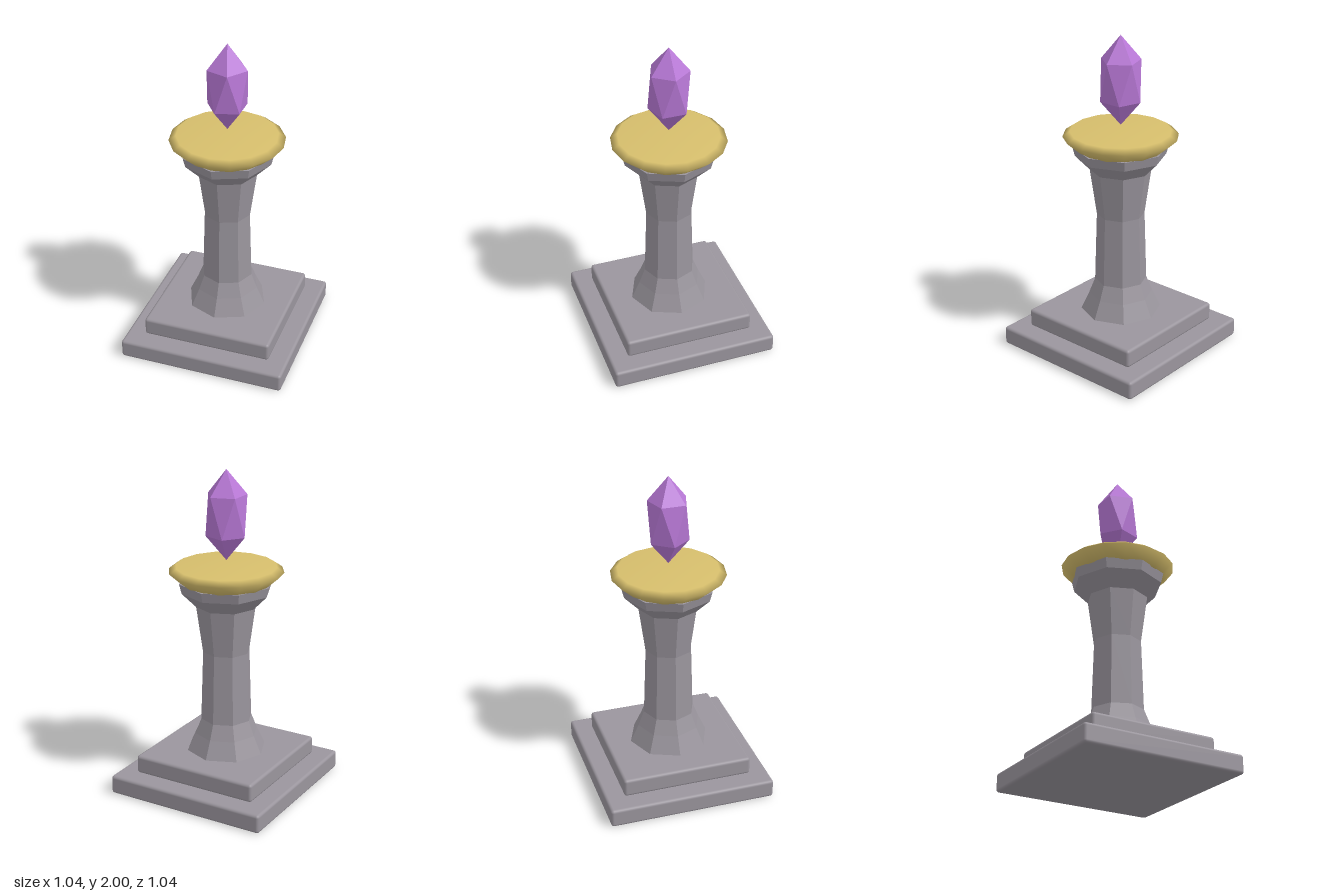
import * as THREE from 'three';
import { RoundedBoxGeometry } from 'three/addons/geometries/RoundedBoxGeometry.js';
import { ConvexGeometry } from 'three/addons/geometries/ConvexGeometry.js';

const mat = (name, color) => {
  const m = new THREE.MeshStandardMaterial({ color });
  m.name = name;
  return m;
};

const lathe = (profile, sides) =>
  new THREE.LatheGeometry(profile.map(([r, y]) => new THREE.Vector2(r, y)), sides);

// Separate faces with their own normals for a faceted look
const faceted = (geometry) => {
  const g = geometry.index ? geometry.toNonIndexed() : geometry;
  g.computeVertexNormals();
  return g;
};

export function createModel() {
  const group = new THREE.Group();
  group.name = 'crystalPedestal';
  const stone = mat('stone', 0x9a959d);
  const gold = mat('gold', 0xd6be6c);
  const purple = mat('purpleCrystal', 0xb878d6);

  const add = (name, geometry, material, y = 0) => {
    const mesh = new THREE.Mesh(geometry, material);
    mesh.name = name;
    mesh.position.y = y;
    group.add(mesh);
    return mesh;
  };

  // Two square steps with softened edges
  add('lowerStep', new RoundedBoxGeometry(1.04, 0.117, 1.04, 2, 0.018), stone, 0.0585);
  add('upperStep', new RoundedBoxGeometry(0.81, 0.115, 0.81, 2, 0.018), stone, 0.1775);

  // Eight-sided column, flared at the foot and the capital
  add('column', faceted(lathe([
    [0.25, 0.23], [0.197, 0.345], [0.16, 0.44], [0.146, 0.88],
    [0.187, 1.17], [0.275, 1.26], [0.29, 1.32], [0, 1.32],
  ], 8)), stone);

  // Smooth shallow dish on top of the capital
  add('dish', lathe([
    [0, 1.315], [0.27, 1.315], [0.348, 1.385], [0.305, 1.415], [0, 1.415],
  ], 16), gold);

  // Floating crystal: two tips and two twisted five-sided rings
  const points = [new THREE.Vector3(0, 1.45, 0), new THREE.Vector3(0, 2, 0)];
  for (let i = 0; i < 5; i++) {
    const a = (i / 5) * Math.PI * 2;
    const x = 0.124 * Math.cos(a), z = 0.124 * Math.sin(a);
    points.push(new THREE.Vector3(x, 1.848, z), new THREE.Vector3(-x, 1.602, -z));
  }
  add('crystal', faceted(new ConvexGeometry(points)), purple);

  return group;
}
